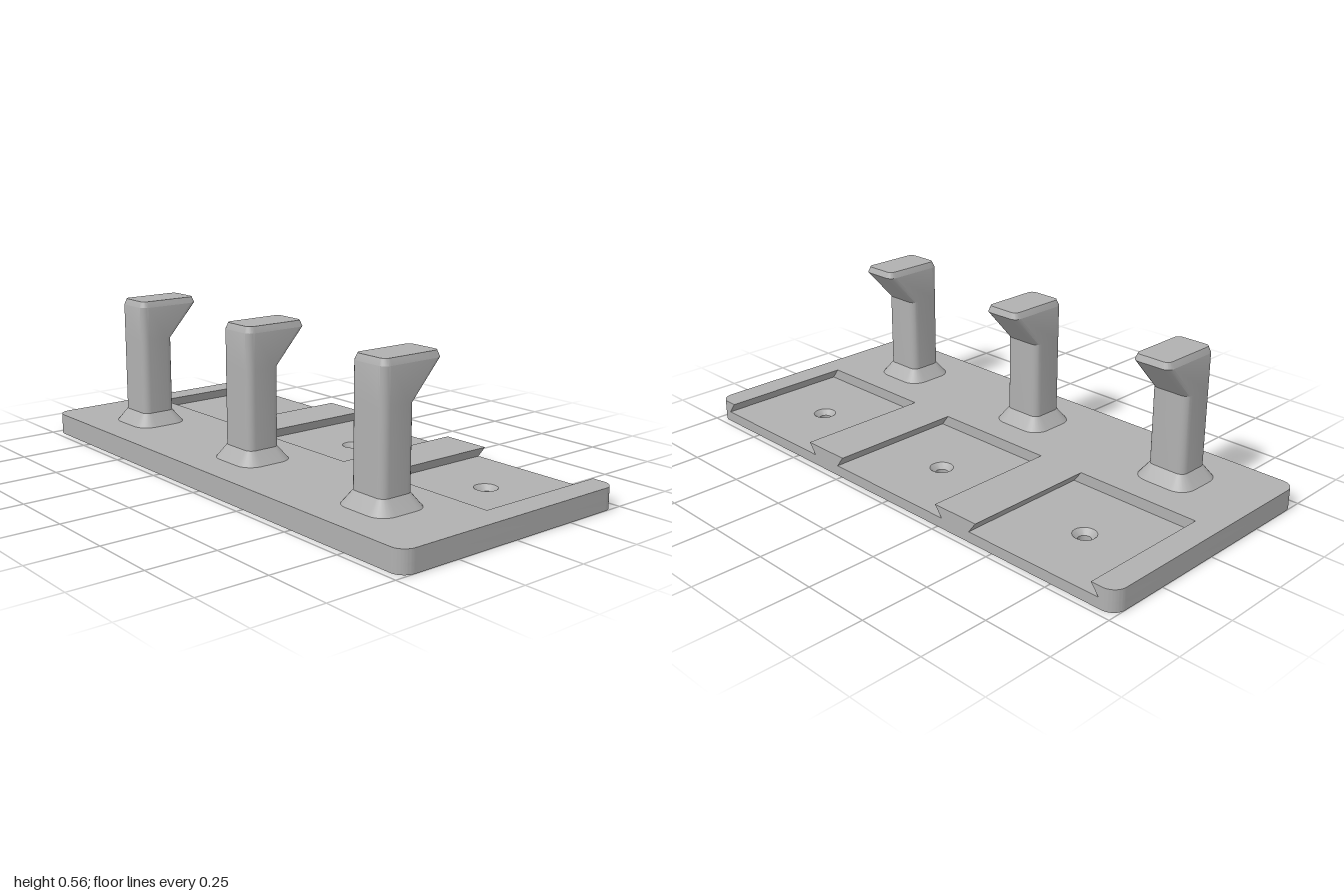
import * as THREE from 'three';
import { toCreasedNormals } from 'three/addons/utils/BufferGeometryUtils.js';

const STATIONS = [-0.667, 0, 0.667]; // hook and slot positions along x
const HALF_W = 1, HALF_D = 0.475, CORNER = 0.05;
const FLOOR = 0.038, TOP = 0.078;    // slot floor and plate top heights
const SLOT_HALF = 0.24, SLOT_END = -0.035, UNDERCUT = 0.03;
const HOLE_Z = -0.222, HOLE_R = 0.023, SINK_R = 0.042;

// Rounded plate outline; the back edge may be notched by the slots
function plateShape(notched) {
  const s = new THREE.Shape(), w = HALF_W - CORNER, d = HALF_D - CORNER, q = Math.PI / 2;
  s.absarc(w, -d, CORNER, -q, 0);
  s.absarc(w, d, CORNER, 0, q);
  if (notched) {
    for (const c of [...STATIONS].reverse()) {
      s.lineTo(c + SLOT_HALF, HALF_D);
      s.lineTo(c + SLOT_HALF, SLOT_END);
      s.lineTo(c - SLOT_HALF, SLOT_END);
      s.lineTo(c - SLOT_HALF, HALF_D);
    }
  }
  s.absarc(-w, d, CORNER, q, 2 * q);
  s.absarc(-w, -d, CORNER, 2 * q, 3 * q);
  s.closePath();
  return s;
}

function extrudeUp(shape, depth, steps) {
  const g = new THREE.ExtrudeGeometry(shape, { depth, steps, bevelEnabled: false, curveSegments: 10 });
  return g.rotateX(-Math.PI / 2);
}

// Lower slab with countersunk screw holes
function slabGeometry() {
  const shape = plateShape(false);
  for (const c of STATIONS) {
    shape.holes.push(new THREE.Path().absarc(c, -HOLE_Z, SINK_R, 0, Math.PI * 2, true));
  }
  const g = extrudeUp(shape, FLOOR, 2), p = g.attributes.position;
  for (let i = 0; i < p.count; i++) {
    if (p.getY(i) > FLOOR - 0.001) continue;
    for (const c of STATIONS) {
      const dx = p.getX(i) - c, dz = p.getZ(i) - HOLE_Z;
      if (Math.hypot(dx, dz) > SINK_R + 0.002) continue;
      p.setX(i, c + dx * HOLE_R / SINK_R);
      p.setZ(i, HOLE_Z + dz * HOLE_R / SINK_R);
    }
  }
  return toCreasedNormals(g, 0.6);
}

// Upper layer whose slot sides are undercut like a dovetail
function slotLayerGeometry() {
  const g = extrudeUp(plateShape(true), TOP - FLOOR, 1), p = g.attributes.position;
  for (let i = 0; i < p.count; i++) {
    if (p.getY(i) > 0.001) continue;
    const x = p.getX(i);
    for (const c of STATIONS) {
      if (Math.abs(Math.abs(x - c) - SLOT_HALF) < 0.001) p.setX(i, x + Math.sign(x - c) * UNDERCUT);
    }
  }
  return toCreasedNormals(g.translate(0, FLOOR, 0), 0.6);
}

// Loft through rounded rectangles: [y, half width, back z, front z, corner radius]
function loft(sections) {
  const SEG = 6, n = 4 * (SEG + 1), pos = [], idx = [];
  for (const [y, hw, z0, z1, r] of sections) {
    const corners = [[hw - r, z1 - r], [r - hw, z1 - r], [r - hw, z0 + r], [hw - r, z0 + r]];
    corners.forEach(([cx, cz], k) => {
      for (let j = 0; j <= SEG; j++) {
        const a = (k + j / SEG) * Math.PI / 2;
        pos.push(cx + r * Math.cos(a), y, cz + r * Math.sin(a));
      }
    });
  }
  const last = sections.length - 1;
  for (let s = 0; s < last; s++) {
    for (let i = 0; i < n; i++) {
      const a = s * n + i, b = s * n + (i + 1) % n;
      idx.push(a, a + n, b + n, a, b + n, b);
    }
  }
  for (let i = 1; i < n - 1; i++) idx.push(last * n, last * n + i + 1, last * n + i);
  const g = new THREE.BufferGeometry();
  g.setAttribute('position', new THREE.Float32BufferAttribute(pos, 3));
  g.setIndex(idx);
  return toCreasedNormals(g, 0.4);
}

export function createModel() {
  const model = new THREE.Group();
  model.name = 'hookRack';
  const grey = new THREE.MeshStandardMaterial({ color: 0xb0b0b0 });
  grey.name = 'grey';
  const add = (parent, name, geometry) => {
    const mesh = new THREE.Mesh(geometry, grey);
    mesh.name = name;
    parent.add(mesh);
  };

  add(model, 'baseSlab', slabGeometry());
  add(model, 'slottedLayer', slotLayerGeometry());

  // Flared foot, then a post whose head leans out to the back
  const foot = loft([
    [TOP, 0.112, 0.145, 0.353, 0.06],
    [0.125, 0.075, 0.184, 0.315, 0.027],
  ]);
  const post = loft([
    [0.125, 0.075, 0.184, 0.315, 0.027],
    [0.408, 0.075, 0.184, 0.315, 0.027],
    [0.533, 0.075, 0.07, 0.315, 0.027],
    [0.555, 0.066, 0.079, 0.306, 0.02],
  ]);
  for (const x of STATIONS) {
    const hook = new THREE.Group();
    hook.name = 'hook';
    hook.position.x = x;
    add(hook, 'foot', foot);
    add(hook, 'post', post);
    model.add(hook);
  }
  return model;
}
